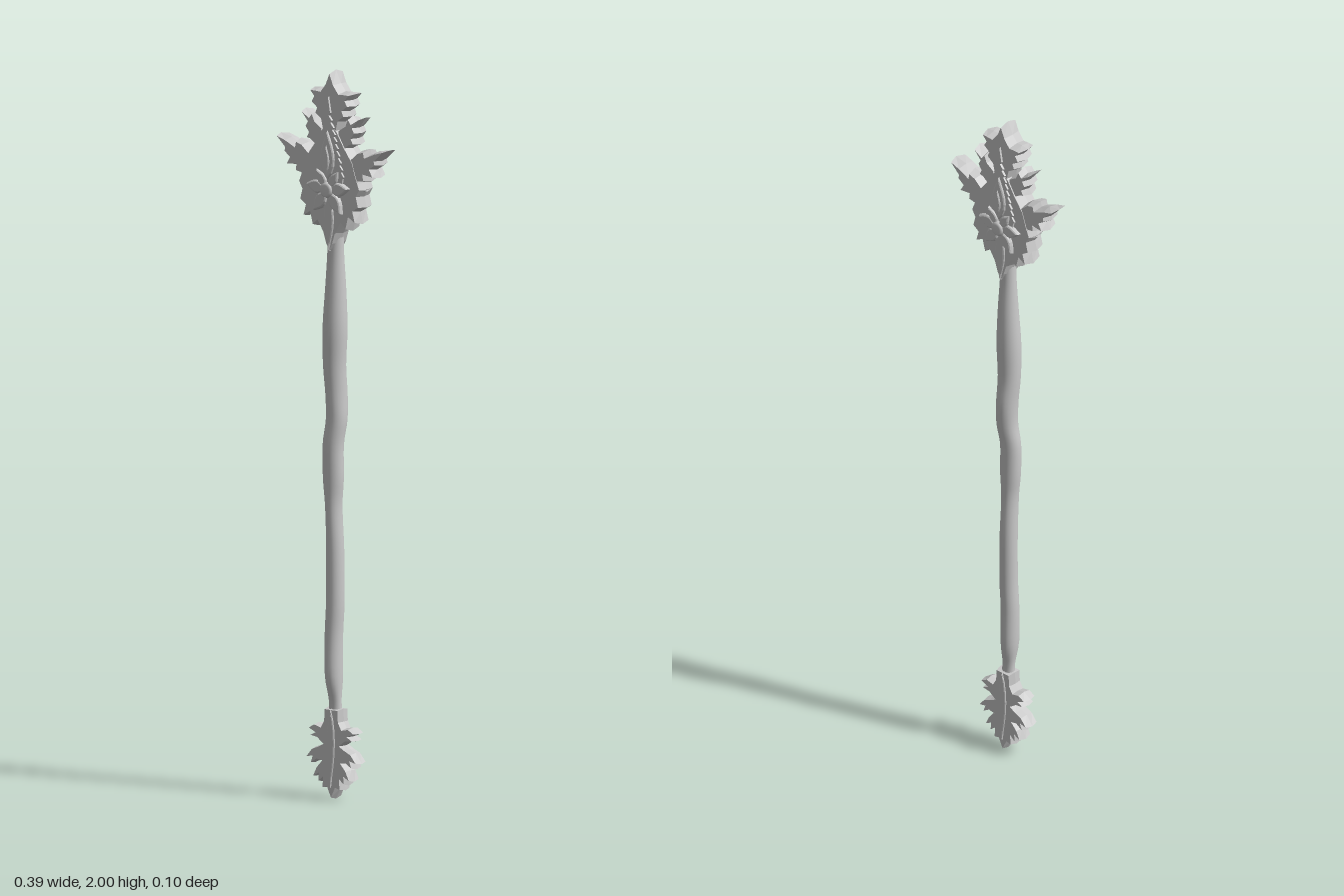
import * as THREE from 'three';

const material = new THREE.MeshStandardMaterial({ color: 0xcccccc, side: THREE.DoubleSide });

// Mesh with a plain name
function part(name, geometry) {
  const mesh = new THREE.Mesh(geometry, material);
  mesh.name = name;
  return mesh;
}

// Bevelled slab around z = 0; its ridge follows the outline
function slab(name, points, half, bevel = 0.006, segments = 1) {
  const shape = new THREE.Shape(points.map(([x, y]) => new THREE.Vector2(x, y)));
  const core = segments > 1 ? half * 1.2 : 0.0002;
  const geometry = new THREE.ExtrudeGeometry(shape, {
    depth: core, bevelThickness: half - core / 2, bevelSize: bevel,
    bevelOffset: -bevel, bevelSegments: segments,
  });
  geometry.translate(0, 0, -core / 2);
  return part(name, geometry);
}

// Complete a right half outline (top to bottom) with its mirror image
function mirrored(half) {
  const other = half.filter(([x]) => x > 0).map(([x, y]) => [-x, y]).reverse();
  return [...half, ...other].reverse();
}

// Pointed petal outline from a base point along an angle
function petal(cx, cy, angle, start, length, width) {
  const steps = 7, right = [], left = [];
  for (let i = 0; i <= steps; i++) {
    const t = i / steps, w = width * Math.sin(Math.PI * Math.pow(t, 0.8));
    const d = start + length * t;
    const at = (s) => [cx + Math.cos(angle) * d - Math.sin(angle) * s, cy + Math.sin(angle) * d + Math.cos(angle) * s];
    right.push(at(-w));
    if (i > 0 && i < steps) left.unshift(at(w));
  }
  return [...right, ...left];
}

// Shaft lofted through rows of [y, xMin, xMax, zMin, zMax]
function shaftGeometry() {
  const rows = [
    [0.22, -0.022, 0.020, -0.018, 0.018], [0.27, -0.020, 0.017, -0.014, 0.017],
    [0.34, -0.028, 0.018, -0.025, 0.030], [0.45, -0.030, 0.018, -0.025, 0.028],
    [0.54, -0.027, 0.022, -0.026, 0.026], [0.68, -0.027, 0.020, -0.027, 0.025],
    [0.80, -0.028, 0.016, -0.024, 0.028], [0.88, -0.036, 0.022, -0.025, 0.030],
    [0.97, -0.037, 0.022, -0.025, 0.030], [1.04, -0.030, 0.028, -0.034, 0.026],
    [1.11, -0.031, 0.026, -0.038, 0.028], [1.19, -0.036, 0.026, -0.032, 0.032],
    [1.29, -0.037, 0.031, -0.033, 0.034], [1.40, -0.030, 0.027, -0.029, 0.028],
    [1.50, -0.024, 0.022, -0.022, 0.022], [1.58, -0.022, 0.022, -0.022, 0.022],
  ];
  const curveOf = (k) => new THREE.SplineCurve(rows.map((r) => new THREE.Vector2(r[0], r[k])));
  const curves = [1, 2, 3, 4].map(curveOf);
  const levels = 60, geometry = new THREE.CylinderGeometry(1, 1, 1, 20, levels);
  const p = geometry.attributes.position;
  for (let i = 0; i < p.count; i++) {
    const t = THREE.MathUtils.clamp(p.getY(i) + 0.5, 0, 1);
    const [x0, x1, z0, z1] = curves.map((c) => c.getPoint(t).y);
    const y = curves[0].getPoint(t).x;
    p.setXYZ(i, (x0 + x1) / 2 + p.getX(i) * (x1 - x0) / 2, y, (z0 + z1) / 2 + p.getZ(i) * (z1 - z0) / 2);
  }
  geometry.computeVertexNormals();
  return geometry;
}

export function createModel() {
  const model = new THREE.Group();
  const head = new THREE.Group();
  head.name = 'head';
  model.add(part('shaft', shaftGeometry()), head);

  // Crown leaf at the very top
  head.add(slab('crownLeaf', mirrored([
    [0, 2], [0.018, 1.965], [0.034, 1.945], [0.052, 1.946], [0.075, 1.943], [0.06, 1.924], [0.07, 1.908],
    [0.05, 1.893], [0.056, 1.878], [0.034, 1.862], [0.024, 1.82], [0, 1.78],
  ]), 0.028));

  // Scalloped body behind the flower
  head.add(slab('leafBody', mirrored([
    [0, 1.86], [0.03, 1.84], [0.055, 1.80], [0.085, 1.76], [0.098, 1.72], [0.112, 1.685], [0.1, 1.665],
    [0.108, 1.635], [0.088, 1.622], [0.095, 1.588], [0.07, 1.6], [0.06, 1.565], [0.042, 1.58],
    [0.026, 1.555], [0.016, 1.525], [0, 1.50],
  ]), 0.029));

  // Side leaves, shoulder leaves and lower curls, one set per side
  for (const side of [1, -1]) {
    const label = side > 0 ? 'left' : 'right';
    const flip = (pts) => (side > 0 ? pts : pts.map(([x, y]) => [-x, y]).reverse());
    head.add(slab(label + 'SideLeaf', flip([
      [0.05, 1.70], [0.09, 1.675], [0.112, 1.68], [0.104, 1.705], [0.125, 1.708], [0.122, 1.725],
      [0.157, 1.722], [0.146, 1.745], [0.165, 1.758], [0.162, 1.77], [0.193, 1.803],
      [0.155, 1.796], [0.125, 1.782], [0.122, 1.798], [0.095, 1.79], [0.06, 1.76],
    ]), 0.0275));
    head.add(slab(label + 'ShoulderLeaf', flip([
      [0.02, 1.78], [0.05, 1.785], [0.07, 1.80], [0.088, 1.805], [0.08, 1.822], [0.092, 1.838],
      [0.084, 1.852], [0.106, 1.882], [0.075, 1.868], [0.062, 1.882], [0.05, 1.858], [0.025, 1.842],
    ]), 0.026));
  }

  // Toothed spire running up the middle
  const teeth = [[0, 1.935]];
  for (let i = 0; i <= 9; i++) {
    const t = i / 9, w = 0.012 + 0.048 * Math.pow(t, 0.9), y = 1.885 - 0.17 * t;
    teeth.push([w, y], [w - 0.005, y - 0.006]);
  }
  teeth.push([0.045, 1.66], [0, 1.60]);
  head.add(slab('spire', mirrored(teeth), 0.034, 0.004));

  // Drop above the flower, with a raised inner drop
  head.add(slab('drop', petal(0, 1.70, Math.PI / 2, 0, 0.14, 0.026), 0.04, 0.006, 3));
  head.add(slab('innerDrop', petal(0, 1.70, Math.PI / 2, 0.02, 0.08, 0.012), 0.044, 0.004, 3));

  // Flower petals and button, standing proud on both faces
  const petals = [[8, 0.068, 0.02], [55, 0.06, 0.016], [125, 0.06, 0.016], [172, 0.068, 0.02], [232, 0.072, 0.02], [308, 0.072, 0.02]];
  petals.forEach(([deg, length, width], i) => {
    head.add(slab('petal' + (i + 1), petal(0, 1.675, deg * Math.PI / 180, 0.008, length, width), 0.041, 0.006, 3));
  });
  head.add(slab('lowerPetal', petal(0, 1.66, -Math.PI / 2, 0, 0.155, 0.019), 0.034, 0.006, 3));
  const button = new THREE.LatheGeometry([
    [0, -0.048], [0.014, -0.048], [0.02, -0.044], [0.022, -0.036],
    [0.022, 0.036], [0.02, 0.044], [0.014, 0.048], [0, 0.048],
  ].map(([r, y]) => new THREE.Vector2(r, y)), 20);
  button.rotateX(Math.PI / 2).translate(0, 1.675, 0);
  head.add(part('flowerButton', button));

  // Leaf at the foot with swept lobes and a raised rib
  const foot = new THREE.Group();
  foot.name = 'footLeaf';
  foot.add(slab('footBlade', mirrored([
    [0, 0.25], [0.026, 0.25], [0.028, 0.215], [0.038, 0.198], [0.06, 0.203], [0.084, 0.188], [0.06, 0.178],
    [0.078, 0.168], [0.05, 0.162], [0.032, 0.15], [0.05, 0.142], [0.07, 0.134], [0.091, 0.106],
    [0.068, 0.11], [0.075, 0.09], [0.05, 0.103], [0.036, 0.102], [0.054, 0.085], [0.066, 0.055],
    [0.046, 0.064], [0.047, 0.042], [0.03, 0.056], [0.034, 0.027], [0.016, 0.03], [0, 0],
  ]), 0.021, 0.004));
  foot.add(slab('footRib', petal(0, 0.25, -Math.PI / 2, 0, 0.22, 0.015), 0.025, 0.005, 3));
  model.add(foot);
  return model;
}
